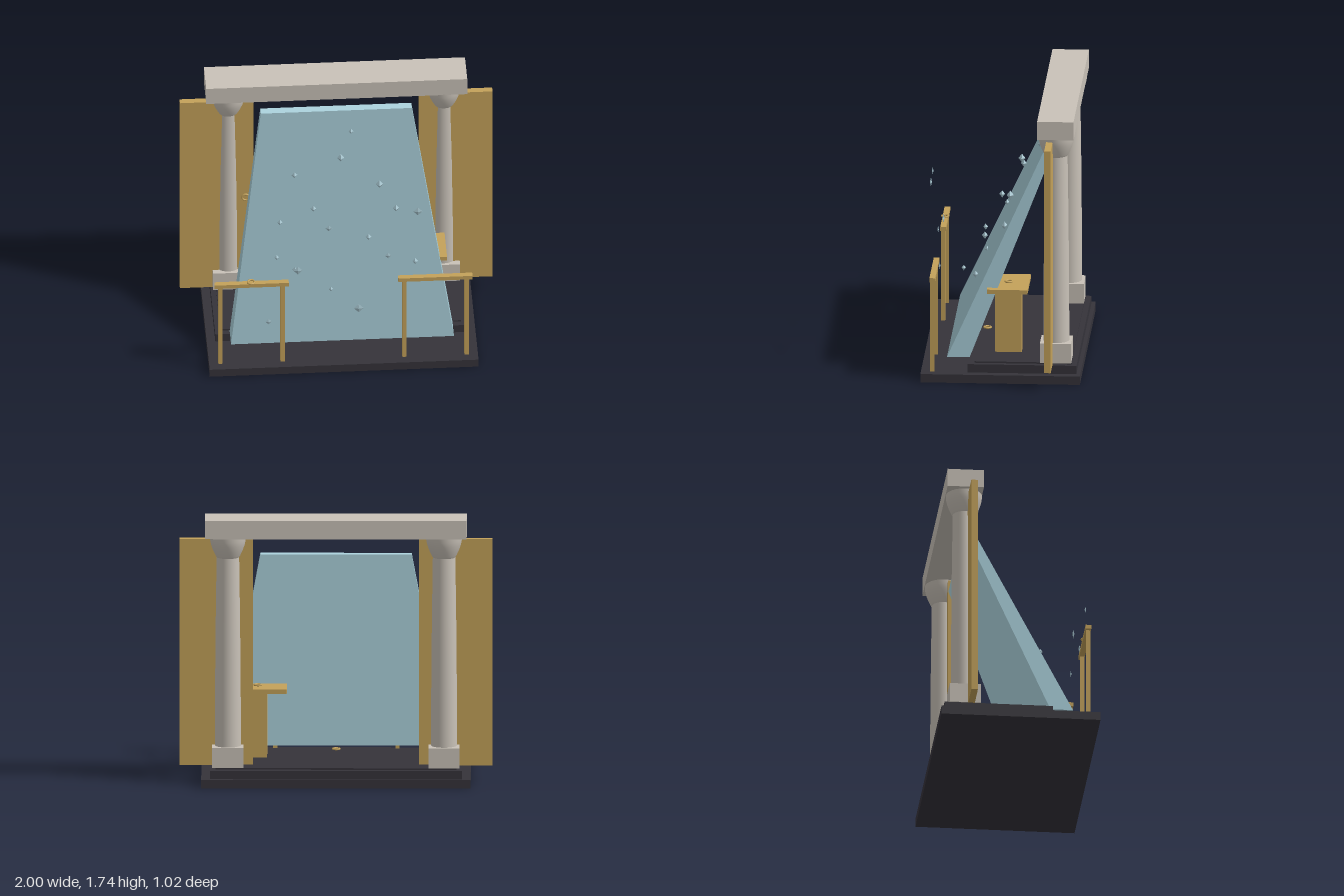
import * as THREE from 'three';

const mat = (name, color) => {
  const m = new THREE.MeshStandardMaterial({ color });
  m.name = name;
  return m;
};

export function createModel() {
  const model = new THREE.Group();
  model.name = 'waterGate';
  const stone = mat('pale stone', 0xc9c2b8);
  const gold = mat('old gold', 0xc4a25a);
  const dark = mat('dark slate', 0x35333a);
  const water = mat('water blue', 0xacd3de);
  const crystal = mat('crystal blue', 0xa4c2cc);
  crystal.flatShading = true;

  const add = (name, geo, material, x = 0, y = 0, z = 0) => {
    const mesh = new THREE.Mesh(geo, material);
    mesh.name = name;
    mesh.position.set(x, y, z);
    model.add(mesh);
    return mesh;
  };
  // Box given by its limits on each axis
  const box = (name, material, x0, x1, y0, y1, z0, z1) =>
    add(name, new THREE.BoxGeometry(x1 - x0, y1 - y0, z1 - z0), material,
      (x0 + x1) / 2, (y0 + y1) / 2, (z0 + z1) / 2);

  // Stepped plinth
  box('plinth', dark, -0.86, 0.86, 0, 0.055, -0.51, 0.51);
  box('upperStep', dark, -0.805, 0.805, 0.055, 0.11, -0.485, 0.21);
  box('floorSlab', dark, -0.77, 0.77, 0.11, 0.12, -0.45, 0.17);

  // Columns, wing panels and front rails, mirrored
  const shaft = [[0.083, 0.25], [0.082, 0.6], [0.078, 1.05], [0.072, 1.48]];
  const capital = [[0.072, 1.478], [0.08, 1.49], [0.096, 1.525], [0.108, 1.56],
    [0.114, 1.59], [0.116, 1.62]];
  const lathe = (pts) =>
    new THREE.LatheGeometry(pts.map(([r, y]) => new THREE.Vector2(r, y)), 32);
  for (const s of [-1, 1]) {
    const side = s > 0 ? 'left' : 'right';
    const x = s * 0.69;
    const span = (a, b) => (s > 0 ? [a, b] : [-b, -a]);
    box(side + 'ColumnBase', stone, x - 0.1, x + 0.1, 0.12, 0.25, -0.45, -0.25);
    add(side + 'ColumnShaft', lathe(shaft), stone, x, 0, -0.35);
    add(side + 'ColumnCapital', lathe(capital), stone, x, 0, -0.35);
    box(side + 'WingPanel', gold, ...span(0.53, 1), 0.115, 1.59, -0.332, -0.29);
    box(side + 'RailBar', gold, ...span(0.35, 0.825), 0.656, 0.683, 0.418, 0.454);
    for (const px of [0.39, 0.787]) {
      box(side + 'RailPost', gold, ...span(px - 0.014, px + 0.014), 0.055, 0.656, 0.424, 0.45);
    }
  }
  box('lintel', stone, -0.835, 0.835, 1.617, 1.737, -0.468, -0.235);

  // Leaning water sheet: a box sheared and tapered toward its top
  const sheet = new THREE.BoxGeometry(1, 1, 1);
  const p = sheet.attributes.position;
  for (let i = 0; i < p.count; i++) {
    const top = p.getY(i) > 0;
    const front = p.getZ(i) > 0;
    p.setXYZ(i, Math.sign(p.getX(i)) * (top ? 0.483 : 0.713), top ? 1.49 : 0.13,
      front ? (top ? -0.28 : 0.348) : (top ? -0.335 : 0.203));
  }
  add('waterSheet', sheet, water);

  // Pedestal table behind the sheet
  box('tablePedestal', gold, 0.44, 0.545, 0.12, 0.545, -0.12, 0.05);
  box('tableTop', gold, 0.315, 0.685, 0.545, 0.572, -0.165, 0.095);

  // Small rings on the rail, table, floor and wing panel
  const ring = new THREE.TorusGeometry(0.022, 0.006, 8, 24);
  for (const [x, y, z] of [[-0.59, 0.688, 0.436], [0.5, 0.577, -0.035], [0, 0.125, 0.13]]) {
    add('ring', ring, gold, x, y, z).rotation.x = Math.PI / 2;
  }
  add('panelRing', ring, gold, -0.58, 0.825, -0.285);

  // Water drops floating off the sheet: x, y, z, half height
  const octa = new THREE.OctahedronGeometry(1);
  const drops = [
    [0.09, 1.375, -0.21, 0.02], [0.016, 1.257, -0.09, 0.029], [-0.28, 1.137, -0.085, 0.024],
    [0.26, 1.08, -0.03, 0.03], [-0.167, 0.963, 0.047, 0.024], [0.364, 0.907, 0, 0.027],
    [0.18, 0.788, 0.137, 0.025], [-0.38, 0.847, 0.027, 0.02], [-0.293, 0.56, 0.15, 0.02],
    [0.475, 0.614, 0.18, 0.024], [-0.07, 0.497, 0.287, 0.018], [-0.41, 0.673, 0.167, 0.02],
  ];
  for (const [x, y, z, h] of drops) {
    add('drop', octa, crystal, x, y, z).scale.set(h * 0.78, h, h * 0.78);
  }

  // Flat shards hanging in front
  const shards = [
    [0.475, 1.222, 0.465, 0.031], [-0.096, 1.13, 0.487, 0.023], [0.287, 0.852, 0.43, 0.022],
    [-0.29, 0.76, 0.43, 0.031], [0.095, 0.482, 0.483, 0.033], [-0.48, 0.388, 0.465, 0.022],
  ];
  for (const [x, y, z, h] of shards) {
    add('shard', octa, crystal, x, y, z).scale.set(h * 0.95, h, h * 0.22);
  }
  return model;
}
